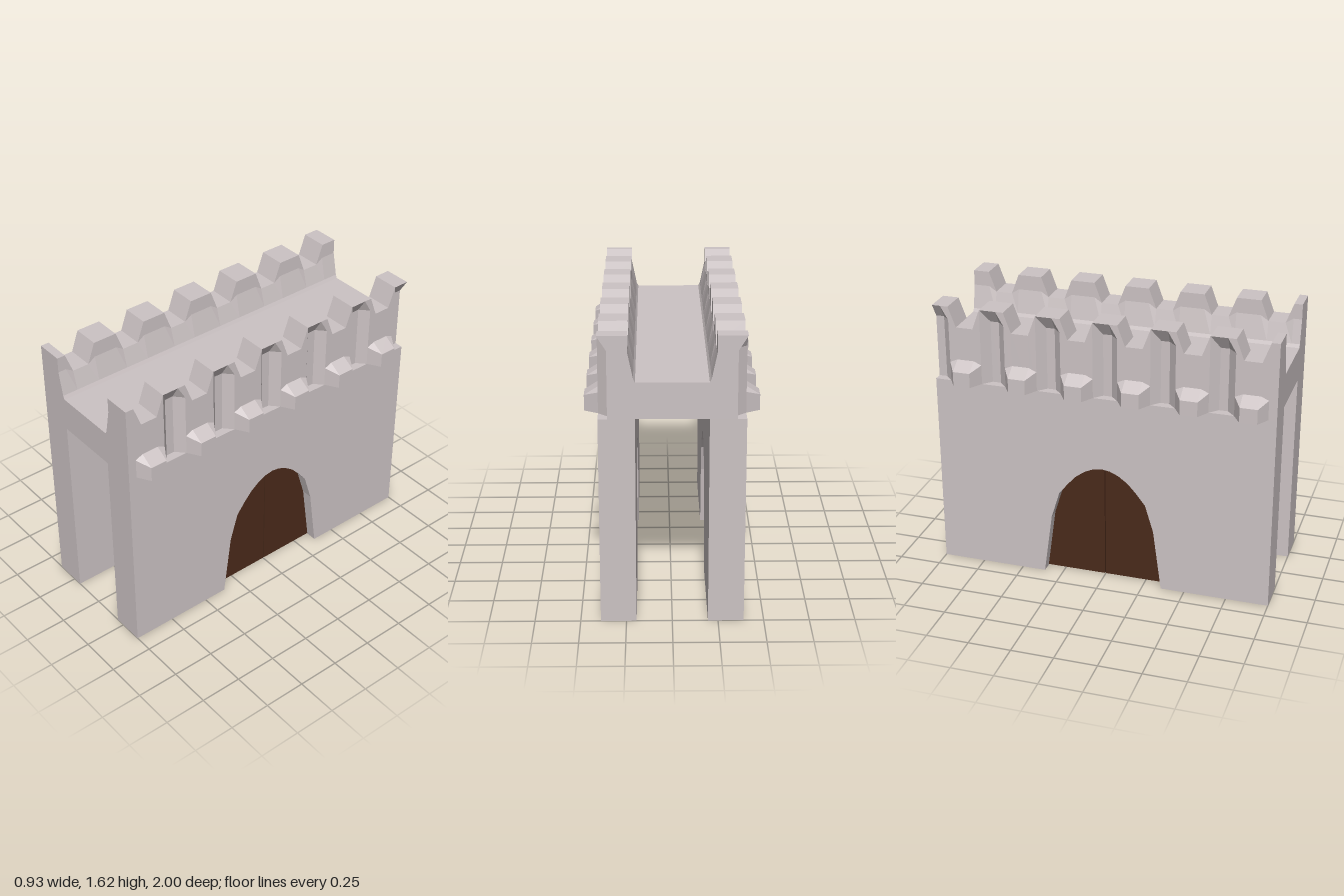
import * as THREE from 'three';
import { ConvexGeometry } from 'three/addons/geometries/ConvexGeometry.js';

const OUT = 0.39, IN = 0.195, BASE = 1.17, DECK = 1.37;
const TOP = 1.62, LOW = 1.5, PITCH = 1 / 3, FIRST = -0.81, COUNT = 6;
// arch outline from foot to crown: [half width, height]
const ARCH = [[0.36, 0], [0.31, 0.37], [0.26, 0.535], [0.205, 0.605], [0.155, 0.66], [0.1, 0.7], [0.05, 0.722], [0, 0.73]];

// extrudes a (z, y) outline along x, from x0 to x1
function slab(points, x0, x1) {
  const shape = new THREE.Shape(points.map(([z, y]) => new THREE.Vector2(z, y)));
  const geo = new THREE.ExtrudeGeometry(shape, { depth: x1 - x0, bevelEnabled: false });
  return geo.rotateY(-Math.PI / 2).translate(x1, 0, 0);
}

// U-shaped cross-section: deck plus both parapets
function section(top, recess) {
  const g = OUT - recess;
  const half = [
    [g, BASE], [g, Math.min(top, 1.54)], [OUT, top], [0.232, top],
    [0.232, Math.min(top, 1.53)], [0.203, 1.39], [0.193, DECK],
  ];
  return [...half, ...half.map(([x, y]) => [-x, y]).reverse()];
}

// lofts the cross-section along z through every crenel and outer groove
function battlementGeometry() {
  const stations = [[-1, TOP, 0.05], [FIRST - PITCH / 2 + 0.025, TOP, 0.05]];
  for (let i = 0; i < COUNT; i++) {
    const c = FIRST + i * PITCH, m = c + PITCH / 2;
    stations.push([c - 0.095, TOP, 0], [c - 0.05, LOW, 0], [c + 0.05, LOW, 0], [c + 0.095, TOP, 0]);
    if (i < COUNT - 1) stations.push([m - 0.025, TOP, 0.05], [m + 0.025, TOP, 0.05]);
  }
  stations.push([1, TOP, 0]);

  const rings = stations.map(([z, top, r]) => section(top, r).map(([x, y]) => new THREE.Vector3(x, y, z)));
  const n = rings[0].length, pos = [];
  const tri = (...v) => v.forEach((p) => pos.push(p.x, p.y, p.z));
  for (let k = 0; k < rings.length - 1; k++) {
    for (let i = 0; i < n; i++) {
      const j = (i + 1) % n;
      const a = rings[k][i], b = rings[k][j], c = rings[k + 1][j], d = rings[k + 1][i];
      tri(a, b, c);
      tri(a, c, d);
    }
  }
  // end caps
  const cap = (ring, flip) => {
    const flat = ring.map((p) => new THREE.Vector2(p.x, p.y));
    for (const [a, b, c] of THREE.ShapeUtils.triangulateShape(flat, [])) {
      if (flip) tri(ring[a], ring[c], ring[b]);
      else tri(ring[a], ring[b], ring[c]);
    }
  };
  cap(rings[0], true);
  cap(rings[rings.length - 1], false);
  const geo = new THREE.BufferGeometry();
  geo.setAttribute('position', new THREE.Float32BufferAttribute(pos, 3));
  geo.computeVertexNormals();
  return geo;
}

// tapered bracket on the outer face
function corbelGeometry(side) {
  const pts = [];
  for (const s of [-1, 1]) {
    for (const [x, y, z] of [
      [OUT, BASE, 0.095], [OUT, 1.285, 0.095], [OUT, 1.305, 0.05],
      [0.465, BASE, 0.05], [0.465, 1.257, 0.05],
    ]) pts.push(new THREE.Vector3(side * x, y, s * z));
  }
  return new ConvexGeometry(pts);
}

export function createModel() {
  const model = new THREE.Group();
  const stone = new THREE.MeshStandardMaterial({ color: 0xccc3c4, flatShading: true });
  const wood = new THREE.MeshStandardMaterial({ color: 0x4a2a1a, flatShading: true });
  const add = (name, geo, mat) => {
    const mesh = new THREE.Mesh(geo, mat);
    mesh.name = name;
    model.add(mesh);
    return mesh;
  };

  add('battlement', battlementGeometry(), stone);

  // wall outline with the arched doorway cut from the bottom edge
  const doorway = [...ARCH.map(([z, y]) => [-z, y]), ...ARCH.slice(0, -1).reverse()];
  const wall = [[-1, 0], ...doorway, [1, 0], [1, BASE], [-1, BASE]];

  for (const side of [1, -1]) {
    const label = side > 0 ? 'left' : 'right';
    const span = (a, b) => (side > 0 ? [a, b] : [-b, -a]);
    add(label + 'Wall', slab(wall, ...span(IN, OUT)), stone);

    // two door leaves with a narrow gap between them
    for (const s of [1, -1]) {
      const leaf = [[0.003, 0.005], ...ARCH.map(([z, y]) => [Math.max(z, 0.003), Math.max(y, 0.005)])];
      add(label + (s > 0 ? 'DoorFrontLeaf' : 'DoorBackLeaf'),
        slab(leaf.map(([z, y]) => [s * z, y]), ...span(0.26, 0.325)), wood);
    }

    // corbels below the crenels
    const corbel = corbelGeometry(side);
    for (let i = 0; i < COUNT; i++) {
      add(label + 'Corbel', corbel, stone).position.z = FIRST + i * PITCH;
    }
  }
  return model;
}
